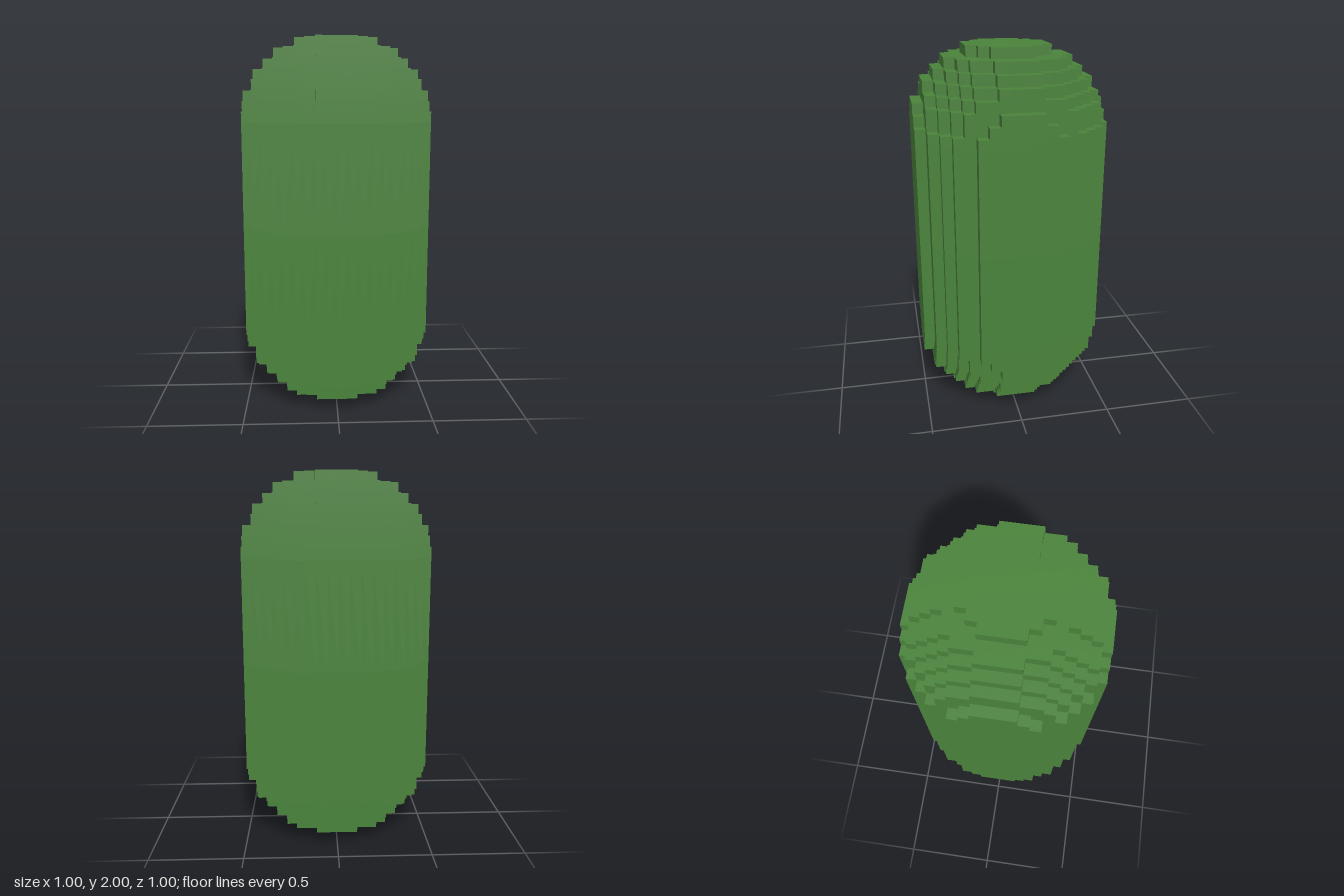
import * as THREE from 'three';

const N = 9;            // half width in blocks
const UNIT = 1 / 18;    // block size
const RADIUS_SQ = 90.25; // rounding radius squared, in blocks

// Blocks from the centre plane to the surface, over the cell centred at (u, v)
function depth(u, v) {
  const rest = RADIUS_SQ - u * u - v * v;
  return rest > 0 ? Math.floor(Math.sqrt(rest) + 0.5) : 0;
}

// Stepped ball whose middle is pulled apart along y into a capsule
function steppedCapsule() {
  const positions = [];
  const corners = [[0, 0], [1, 0], [1, 1], [0, 0], [1, 1], [0, 1]];
  for (let axis = 0; axis < 3; axis++) {
    const uAxis = (axis + 1) % 3, vAxis = (axis + 2) % 3;
    for (let i = -N; i < N; i++) {
      for (let j = -N; j < N; j++) {
        const d = depth(i + 0.5, j + 0.5);
        if (!d) continue;
        for (const side of [1, -1]) {
          const order = side > 0 ? corners : [...corners].reverse();
          for (const [du, dv] of order) {
            const p = [0, 0, 0];
            p[axis] = side * d;
            p[uAxis] = i + du;
            p[vAxis] = j + dv;
            // Stretch: the two middle rows become the straight body
            p[1] += N * Math.sign(p[1]);
            positions.push(p[0] * UNIT, p[1] * UNIT + 1, p[2] * UNIT);
          }
        }
      }
    }
  }
  const geometry = new THREE.BufferGeometry();
  geometry.setAttribute('position', new THREE.Float32BufferAttribute(positions, 3));
  geometry.computeVertexNormals(); // unshared corners give flat faces
  return geometry;
}

export function createModel() {
  const group = new THREE.Group();
  group.name = 'blockCapsule';
  const green = new THREE.MeshStandardMaterial({ color: 0x4a833b });
  green.name = 'leaf green';
  const body = new THREE.Mesh(steppedCapsule(), green);
  body.name = 'body';
  group.add(body);
  return group;
}
